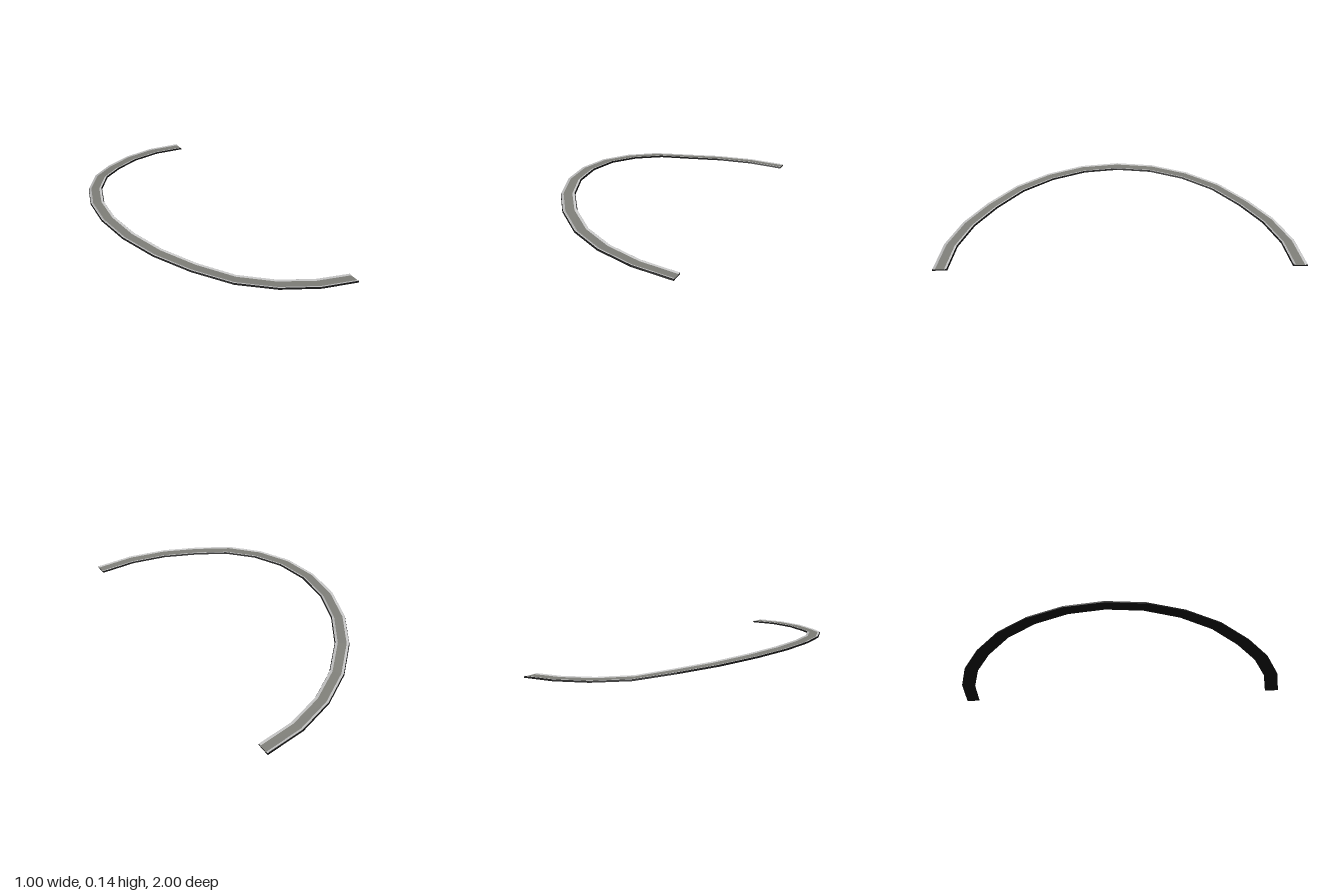
import * as THREE from 'three';

// Underside height from the apex of the bend (index 0) down to either end (index 7)
const HEIGHTS = [0.134, 0.129, 0.113, 0.09, 0.057, 0.037, 0.019, 0];
const STEPS = 7;
const CENTRE_X = 0.5;

// Cross-section as [radius, height], from the inner bottom over the top to the outer bottom
const PROFILE = [
  [0.919, 0], [0.923, 0.0095], [0.925, 0.0105], [0.936, 0.0065],
  [0.984, 0.0065], [0.995, 0.0105], [0.997, 0.0095], [1, 0],
];

// Sweeps one piece of the cross-section around the half circle
function sweep(points) {
  const at = (k, [r, h]) => {
    const a = (k / STEPS) * Math.PI / 2;
    return [CENTRE_X - r * Math.cos(a), HEIGHTS[Math.abs(k)] + h, r * Math.sin(a)];
  };
  const pos = [];
  for (let k = -STEPS; k < STEPS; k++) {
    for (let i = 0; i < points.length - 1; i++) {
      const a = at(k, points[i]), b = at(k, points[i + 1]);
      const c = at(k + 1, points[i + 1]), d = at(k + 1, points[i]);
      pos.push(...a, ...b, ...c, ...a, ...c, ...d);
    }
  }
  const geo = new THREE.BufferGeometry();
  geo.setAttribute('position', new THREE.Float32BufferAttribute(pos, 3));
  geo.computeVertexNormals();
  return geo;
}

// Flat end of the track; side is +1 for the front end, -1 for the back end
function endCap(side) {
  const shape = new THREE.Shape(PROFILE.map(([r, h]) => new THREE.Vector2(-side * r, h)));
  return new THREE.ShapeGeometry(shape).rotateY(Math.PI / 2).translate(CENTRE_X, 0, 0);
}

export function createModel() {
  const road = new THREE.MeshStandardMaterial({ color: 0x80807a });
  road.name = 'road grey';
  const kerb = new THREE.MeshStandardMaterial({ color: 0xc4c4c4 });
  kerb.name = 'kerb light grey';
  const base = new THREE.MeshStandardMaterial({ color: 0x161616 });
  base.name = 'base black';

  const group = new THREE.Group();
  group.name = 'curvedRamp';
  const add = (name, geo, mat) => {
    const mesh = new THREE.Mesh(geo, mat);
    mesh.name = name;
    group.add(mesh);
  };

  // Road surface between two raised kerbs
  add('roadSurface', sweep(PROFILE.slice(3, 5)), road);
  add('innerKerb', sweep(PROFILE.slice(1, 4)), kerb);
  add('outerKerb', sweep(PROFILE.slice(4, 7)), kerb);

  // Dark sides, underside and ends
  add('innerSide', sweep(PROFILE.slice(0, 2)), base);
  add('outerSide', sweep(PROFILE.slice(6, 8)), base);
  add('underside', sweep([PROFILE[7], PROFILE[0]]), base);
  add('frontEnd', endCap(1), base);
  add('backEnd', endCap(-1), base);

  return group;
}
